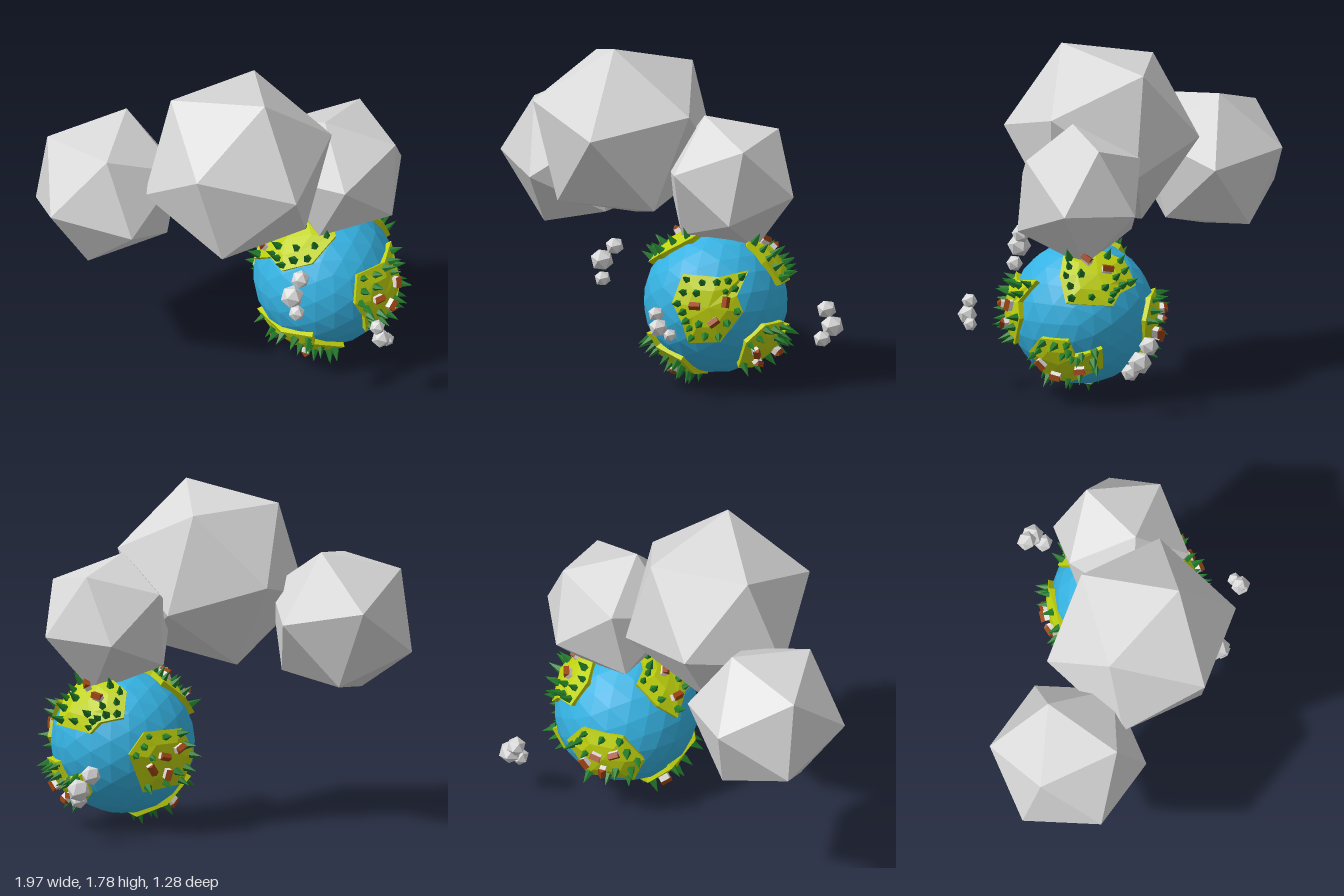
import * as THREE from 'three';

const mat = (name, color) => new THREE.MeshStandardMaterial({ name, color, flatShading: true });
const V = (x, y, z) => new THREE.Vector3(x, y, z);
const UP = V(0, 1, 0);
const R = 0.38;          // globe radius
const LAND = 0.408;      // radius of the island tops

// Islands: n = outward direction, outline and houses as tangent-plane offsets
const ISLANDS = [
  { name: 'frontRightIsland', n: [0.26, 0.03, 0.27],
    outline: [[-0.18, 0.02], [-0.13, 0.16], [0.05, 0.15], [0.19, 0.18], [0.14, 0.06], [0.17, -0.02], [0.06, -0.17], [-0.1, -0.18], [-0.13, -0.08]],
    houses: [[-0.06, 0.01], [0.03, -0.065], [0.085, 0.03]] },
  { name: 'upperLeftIsland', n: [-0.2, 0.29, 0.11],
    outline: [[-0.15, -0.17], [-0.02, -0.12], [0.08, -0.14], [0.19, -0.02], [0.17, 0.16], [0.06, 0.22], [-0.08, 0.12], [-0.18, 0.1], [-0.2, -0.05]],
    houses: [[-0.1, -0.09], [-0.04, 0.03]] },
  { name: 'lowerLeftIsland', n: [-0.17, -0.29, 0.16],
    outline: [[-0.23, 0.08], [0, 0.16], [0.17, 0.15], [0.157, 0.084], [0.24, -0.05], [0.14, -0.146], [-0.05, -0.2], [-0.18, -0.1]],
    houses: [[-0.14, -0.03], [0.04, -0.05]] },
  { name: 'lowerRightIsland', n: [0.31, -0.21, -0.07],
    outline: [[-0.16, 0.04], [-0.08, 0.14], [0.07, 0.14], [0.09, 0.05], [0.22, 0.06], [0.2, -0.06], [0.02, -0.14], [-0.1, -0.13]],
    houses: [[-0.09, 0], [-0.03, -0.07], [0.1, -0.03]] },
  { name: 'upperBackIsland', n: [0.19, 0.24, -0.22],
    outline: [[-0.17, -0.12], [0.06, -0.16], [0.1, -0.1], [0.2, -0.04], [0.16, 0.1], [0.02, 0.17], [-0.14, 0.14], [-0.18, 0.02]],
    houses: [[-0.04, 0.08], [0.05, 0.02]] },
  { name: 'backIsland', n: [-0.19, -0.04, -0.32],
    outline: [[-0.2, 0.03], [-0.12, 0.14], [0.1, 0.14], [0.2, 0], [0.14, -0.15], [-0.1, -0.17]],
    houses: [[-0.09, -0.04], [-0.03, 0.02], [0.06, 0.05], [0, -0.07]] },
];

// Icosahedron turned so that two neighbouring corners point along a and b
function cloudPuff(name, material, centre, radius, a, b) {
  const mesh = new THREE.Mesh(new THREE.IcosahedronGeometry(radius, 0), material);
  const A = V(...a).normalize(), B = V(...b).normalize();
  const x = A.clone().sub(B).normalize();
  const y = A.clone().add(B);
  y.addScaledVector(x, -y.dot(x)).normalize();
  mesh.quaternion.setFromRotationMatrix(new THREE.Matrix4().makeBasis(x, y, x.clone().cross(y)));
  mesh.position.set(...centre);
  mesh.name = name;
  return mesh;
}

// Raised land: fan-shaped cap on the sphere with a skirt sunk into the water
function landGeometry(outline, dirAt) {
  const pos = [];
  const tri = (...pts) => pts.forEach(p => pos.push(p.x, p.y, p.z));
  const at = (p, k, r) => dirAt(p[0] * k, p[1] * k).multiplyScalar(r);
  const top = at([0, 0], 1, LAND);
  outline.forEach((p, i) => {
    const q = outline[(i + 1) % outline.length];
    const pm = at(p, 0.55, LAND), qm = at(q, 0.55, LAND);
    const po = at(p, 1, LAND), qo = at(q, 1, LAND);
    const pb = at(p, 1, 0.355), qb = at(q, 1, 0.355);
    tri(top, pm, qm);
    tri(pm, po, qo, pm, qo, qm);
    tri(po, pb, qb, po, qb, qo);
  });
  const g = new THREE.BufferGeometry();
  g.setAttribute('position', new THREE.Float32BufferAttribute(pos, 3));
  g.computeVertexNormals();
  return g;
}

export function createModel() {
  const water = mat('water blue', 0x35b2e2);
  const land = mat('meadow green', 0xc0d20e);
  const leaf = mat('tree green', 0x237d2b);
  const roofMat = mat('roof brown', 0xa04614);
  const wallMat = mat('wall white', 0xe4dfdc);
  const cloud = mat('cloud grey', 0xd9d9d9);

  const model = new THREE.Group();
  model.name = 'planetWithClouds';

  // Globe
  const planet = new THREE.Group();
  planet.name = 'planet';
  planet.position.set(0.505, 0.475, -0.02);
  model.add(planet);
  const ocean = new THREE.Mesh(new THREE.IcosahedronGeometry(R, 3), water);
  ocean.name = 'ocean';
  planet.add(ocean);

  // Shared tree and house shapes, standing on their origin
  const treeGeo = new THREE.ConeGeometry(0.026, 0.082, 5).translate(0, 0.035, 0);
  const wallGeo = new THREE.BoxGeometry(0.052, 0.036, 0.032).translate(0, 0.014, 0);
  const gable = new THREE.Shape([[-0.021, 0], [0.021, 0], [0, 0.021]].map(p => new THREE.Vector2(...p)));
  const roofGeo = new THREE.ExtrudeGeometry(gable, { depth: 0.058, bevelEnabled: false })
    .translate(0, 0.03, -0.029).rotateY(Math.PI / 2);

  ISLANDS.forEach((spec, k) => {
    const island = new THREE.Group();
    island.name = spec.name;
    planet.add(island);

    const n = V(...spec.n).normalize();
    const u = UP.clone().cross(n).normalize();
    const v = n.clone().cross(u);
    const dirAt = (a, b) => n.clone().multiplyScalar(Math.sqrt(R * R - a * a - b * b))
      .addScaledVector(u, a).addScaledVector(v, b).normalize();

    const outline = spec.outline.slice();
    if (THREE.ShapeUtils.isClockWise(outline.map(p => new THREE.Vector2(...p)))) outline.reverse();
    const ground = new THREE.Mesh(landGeometry(outline, dirAt), land);
    ground.name = 'land';
    island.add(ground);

    const place = (object, a, b, turn) => {
      const d = dirAt(a, b);
      object.position.copy(d).multiplyScalar(LAND - 0.008);
      object.quaternion.setFromUnitVectors(UP, d);
      object.rotateY(turn);
      island.add(object);
    };

    // Houses
    spec.houses.forEach(([a, b], i) => {
      const house = new THREE.Group();
      house.name = 'house';
      const walls = new THREE.Mesh(wallGeo, wallMat);
      walls.name = 'walls';
      const roof = new THREE.Mesh(roofGeo, roofMat);
      roof.name = 'roof';
      house.add(walls, roof);
      place(house, a, b, 0.6 + i * 0.9 + k);
    });

    // Trees along the shore and a few inland, clear of the houses
    const tree = (a, b, i) => {
      if (spec.houses.some(h => Math.hypot(h[0] - a, h[1] - b) < 0.05)) return;
      const mesh = new THREE.Mesh(treeGeo, leaf);
      mesh.name = 'tree';
      mesh.scale.setScalar([1, 0.82, 0.92][i % 3]);
      place(mesh, a, b, i * 1.3);
    };
    outline.forEach((p, i) => {
      const q = outline[(i + 1) % outline.length];
      tree(p[0] * 0.84, p[1] * 0.84, i);
      tree((p[0] + q[0]) * 0.4, (p[1] + q[1]) * 0.4, i + 1);
      if (i % 2) tree(p[0] * 0.45, p[1] * 0.45, i + 2);
    });
  });

  // Large clouds
  model.add(
    cloudPuff('bigCloudMiddle', cloud, [0.017, 1.338, 0.19], 0.516, [0.117, 0.47, 0.174], [0.25, 0.022, 0.452]),
    cloudPuff('bigCloudLeft', cloud, [-0.644, 1.112, -0.051], 0.421, [0.12, 0.381, -0.136], [-0.077, 0.088, -0.404]),
    cloudPuff('bigCloudRight', cloud, [0.585, 1.115, -0.052], 0.378, [-0.09, 0.354, 0.102], [-0.02, 0.075, 0.372]),
  );

  // Small clouds of three puffs: x, y, z, radius
  [
    [[0.305, 0.8, 0.505, 0.05], [0.256, 0.725, 0.55, 0.063], [0.278, 0.63, 0.565, 0.044]],
    [[0.705, 0.5, 0.56, 0.042], [0.725, 0.43, 0.56, 0.052], [0.765, 0.39, 0.515, 0.037]],
    [[0.727, 0.39, -0.594, 0.053], [0.79, 0.31, -0.58, 0.063], [0.785, 0.25, -0.515, 0.048]],
  ].forEach(puffs => {
    const group = new THREE.Group();
    group.name = 'smallCloud';
    puffs.forEach(([x, y, z, r]) => group.add(
      cloudPuff('puff', cloud, [x, y, z], r, [0.117, 0.47, 0.174], [0.25, 0.022, 0.452])));
    model.add(group);
  });

  return model;
}
